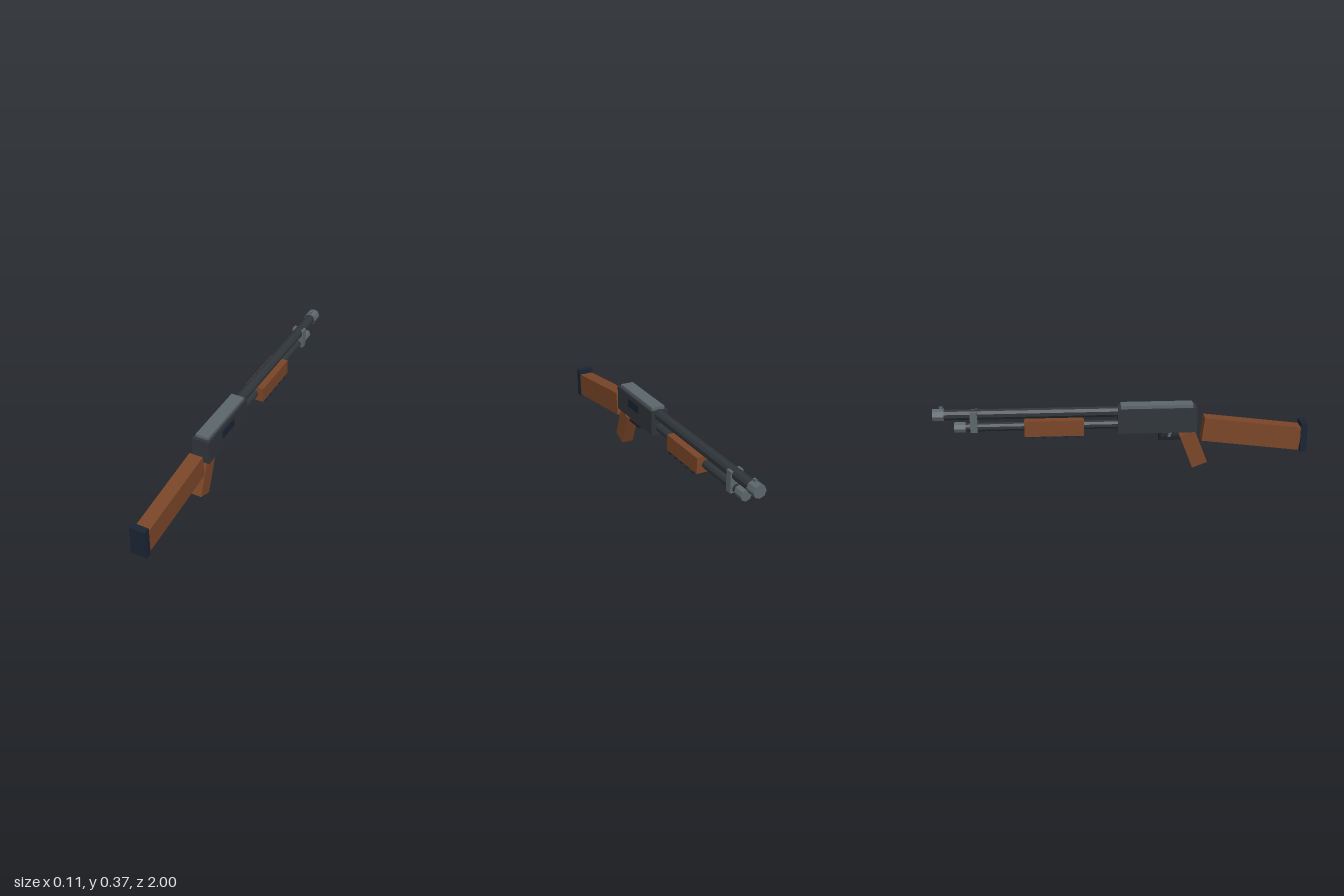
import * as THREE from 'three';

const paint = (color) => new THREE.MeshStandardMaterial({ color, flatShading: true });

export function createModel() {
  const model = new THREE.Group();
  const wood = paint(0x7a4628);
  const body = paint(0x30353a);
  const steel = paint(0x5c666a);
  const navy = paint(0x1a2433);
  const black = paint(0x1c1f23);

  function add(name, geometry, material, x, y, z, tilt = 0) {
    const mesh = new THREE.Mesh(geometry, material);
    mesh.name = name;
    mesh.position.set(x, y, z);
    mesh.rotation.x = tilt;
    model.add(mesh);
    return mesh;
  }
  const box = (name, material, [w, h, d], [x, y, z], tilt) =>
    add(name, new THREE.BoxGeometry(w, h, d), material, x, y, z, tilt);

  // Cylinder lying along z between two z values
  const rod = (name, material, radius, y, z0, z1, sides) =>
    add(name, new THREE.CylinderGeometry(radius, radius, Math.abs(z1 - z0), sides).rotateX(Math.PI / 2),
      material, 0, y, (z0 + z1) / 2);

  // Receiver
  box('receiver', body, [0.096, 0.134, 0.422], [0, 0.279, 0.187]);
  box('receiverTop', steel, [0.073, 0.03, 0.386], [0, 0.348, 0.185]);
  box('ejectionPort', navy, [0.01, 0.046, 0.123], [0.048, 0.301, 0.193]);
  box('loadingPort', black, [0.055, 0.012, 0.16], [0, 0.211, 0.17]);

  // Barrel and magazine tube
  rod('barrel', body, 0.029, 0.322, 0, -0.96, 10);
  rod('muzzle', steel, 0.035, 0.323, -0.94, -1, 8);
  box('frontSight', steel, [0.012, 0.03, 0.02], [0, 0.354, -0.955]);
  rod('magazineTube', body, 0.024, 0.251, 0, -0.84, 10);
  rod('magazineCap', steel, 0.03, 0.251, -0.83, -0.89, 8);
  box('barrelBand', steel, [0.07, 0.112, 0.038], [0, 0.286, -0.786]);

  // Fore-end with grip ribs
  box('foreEnd', wood, [0.106, 0.086, 0.314], [0, 0.251, -0.363]);
  for (let i = 0; i < 5; i++) {
    box('foreEndRib', navy, [0.11, 0.01, 0.016], [0, 0.201, -0.24 - i * 0.06]);
  }

  // Stock, butt pad and grip
  box('stock', wood, [0.076, 0.129, 0.535], [0, 0.189, 0.699], 0.125);
  box('buttPad', navy, [0.086, 0.165, 0.036], [0, 0.165, 0.982]);
  box('grip', wood, [0.066, 0.197, 0.087], [0, 0.108, 0.384], -0.37);

  // Trigger and guard
  box('guardBottom', black, [0.03, 0.013, 0.125], [0, 0.165, 0.257]);
  box('guardFront', black, [0.03, 0.055, 0.013], [0, 0.186, 0.201]);
  box('trigger', steel, [0.015, 0.05, 0.013], [0, 0.19, 0.258], 0.3);

  return model;
}
